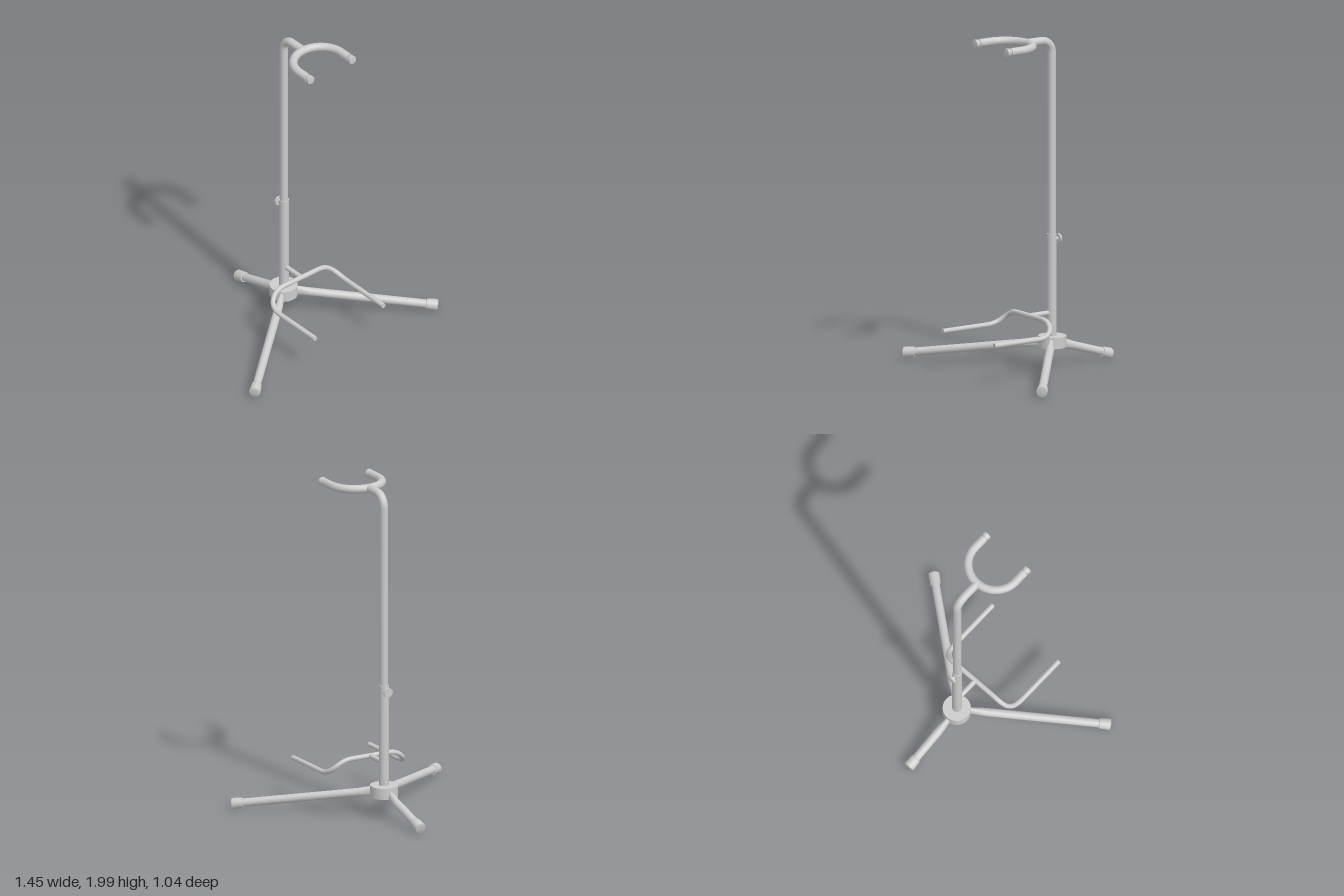
import * as THREE from 'three';

const V = (x, y, z) => new THREE.Vector3(x, y, z);
const material = new THREE.MeshStandardMaterial({ color: 0xcccccc });
const POLE_Z = -0.083;

function add(parent, name, geometry, position = V(0, 0, 0)) {
  const mesh = new THREE.Mesh(geometry, material);
  mesh.name = name;
  mesh.position.copy(position);
  parent.add(mesh);
  return mesh;
}

// Round bar along a chain of curves
function bar(curves, segments, radius) {
  const path = new THREE.CurvePath();
  curves.forEach((c) => path.add(c));
  return new THREE.TubeGeometry(path, segments, radius, 16);
}

const line = (a, b) => new THREE.LineCurve3(a, b);

// Quarter-arc stand-in: cubic from a to b, rounding the corner c
function bend(a, c, b) {
  const k = 0.552;
  return new THREE.CubicBezierCurve3(a, a.clone().lerp(c, k), b.clone().lerp(c, k), b);
}

// Leg with a crimped hub end and a rubber foot, built along +z then aimed outward
function makeLeg(name, end) {
  const leg = new THREE.Group();
  leg.name = name;
  const start = V(0, 0.167, POLE_Z);
  const length = start.distanceTo(end);
  const inner = 0.045;
  const tube = new THREE.CylinderGeometry(0.025, 0.025, length - inner - 0.02, 20, 24);
  tube.rotateX(Math.PI / 2).translate(0, 0, (length + inner - 0.02) / 2);
  const p = tube.attributes.position;
  for (let i = 0; i < p.count; i++) {
    const t = THREE.MathUtils.smoothstep(p.getZ(i), 0.07, 0.18);
    p.setX(i, p.getX(i) * (0.68 + 0.32 * t));
    p.setY(i, p.getY(i) * (1.22 - 0.22 * t));
  }
  tube.computeVertexNormals();
  add(leg, 'legTube', tube);
  const profile = [[0, -0.07], [0.03, -0.07], [0.031, -0.066], [0.034, -0.008], [0.031, 0], [0, 0]]
    .map(([r, y]) => new THREE.Vector2(r, y));
  add(leg, 'rubberFoot', new THREE.LatheGeometry(profile, 24).rotateX(Math.PI / 2), V(0, 0, length));
  leg.position.copy(start);
  leg.lookAt(end);
  return leg;
}

export function createModel() {
  const model = new THREE.Group();
  model.name = 'instrumentStand';

  // Tripod base
  add(model, 'hub', new THREE.CylinderGeometry(0.083, 0.083, 0.068, 40), V(0, 0.164, POLE_Z - 0.003));
  model.add(makeLeg('leftLeg', V(0.703, 0.043, 0.487)));
  model.add(makeLeg('rightLeg', V(-0.703, 0.043, 0.487)));
  model.add(makeLeg('backLeg', V(0, 0.037, -0.508)));

  // Telescoping pole: wide lower sleeve, thin upper tube bending forward
  add(model, 'lowerPole', new THREE.CylinderGeometry(0.029, 0.029, 0.66, 24), V(0, 0.48, POLE_Z));
  const top = 1.975;
  add(model, 'upperPole', bar([
    line(V(0, 0.75, POLE_Z), V(0, 1.9, POLE_Z)),
    bend(V(0, 1.9, POLE_Z), V(0, top, POLE_Z), V(0, top, -0.008)),
    line(V(0, top, -0.008), V(0, top, 0.09)),
  ], 90, 0.025));

  // Height-locking knob on the back of the sleeve
  const knob = new THREE.Group();
  knob.name = 'lockingKnob';
  knob.position.set(0, 0.776, 0);
  add(knob, 'knobStem', new THREE.CylinderGeometry(0.012, 0.012, 0.04, 12).rotateX(Math.PI / 2), V(0, 0, -0.115));
  add(knob, 'knobHead', new THREE.CylinderGeometry(0.029, 0.029, 0.012, 16).rotateX(Math.PI / 2), V(0, 0, -0.131));
  model.add(knob);

  // U-shaped neck yoke with end caps
  const yoke = new THREE.Group();
  yoke.name = 'neckYoke';
  yoke.position.y = top;
  const w = 0.16, back = 0.093, mid = 0.25;
  add(yoke, 'yokeBar', bar([
    line(V(-w, 0, 0.328), V(-w, 0, mid)),
    bend(V(-w, 0, mid), V(-w, 0, back), V(0, 0, back)),
    bend(V(0, 0, back), V(w, 0, back), V(w, 0, mid)),
    line(V(w, 0, mid), V(w, 0, 0.328)),
  ], 56, 0.025));
  for (const x of [-w, w]) {
    const profile = [[0, 0.326], [0.025, 0.328], [0.021, 0.331], [0.021, 0.335], [0.025, 0.338], [0.026, 0.357], [0.024, 0.36], [0, 0.36]]
      .map(([r, z]) => new THREE.Vector2(r, z));
    add(yoke, 'yokeCap', new THREE.LatheGeometry(profile, 20).rotateX(Math.PI / 2), V(x, 0, 0));
  }
  model.add(yoke);

  // Lower cradle: stem from the pole, crossbar, and two arms dropping forward
  const cradle = new THREE.Group();
  cradle.name = 'bodyCradle';
  const high = 0.335, low = 0.25, barZ = 0.077, armX = 0.262;
  add(cradle, 'cradleStem', bar([line(V(0, high, POLE_Z), V(0, high, barZ))], 4, 0.015));
  const drop = (s) => [
    V(s * 0.13, high, barZ), V(s * 0.22, high, barZ), V(s * armX, low, barZ + 0.005), V(s * armX, low, 0.2),
  ];
  add(cradle, 'cradleBar', bar([
    line(V(-armX, low, 0.518), V(-armX, low, 0.2)),
    new THREE.CubicBezierCurve3(...drop(-1).reverse()),
    line(V(-0.13, high, barZ), V(0.13, high, barZ)),
    new THREE.CubicBezierCurve3(...drop(1)),
    line(V(armX, low, 0.2), V(armX, low, 0.518)),
  ], 110, 0.015));
  for (const x of [-armX, armX]) {
    add(cradle, 'cradleArmEnd', new THREE.CircleGeometry(0.015, 16), V(x, low, 0.518));
  }
  model.add(cradle);

  return model;
}
